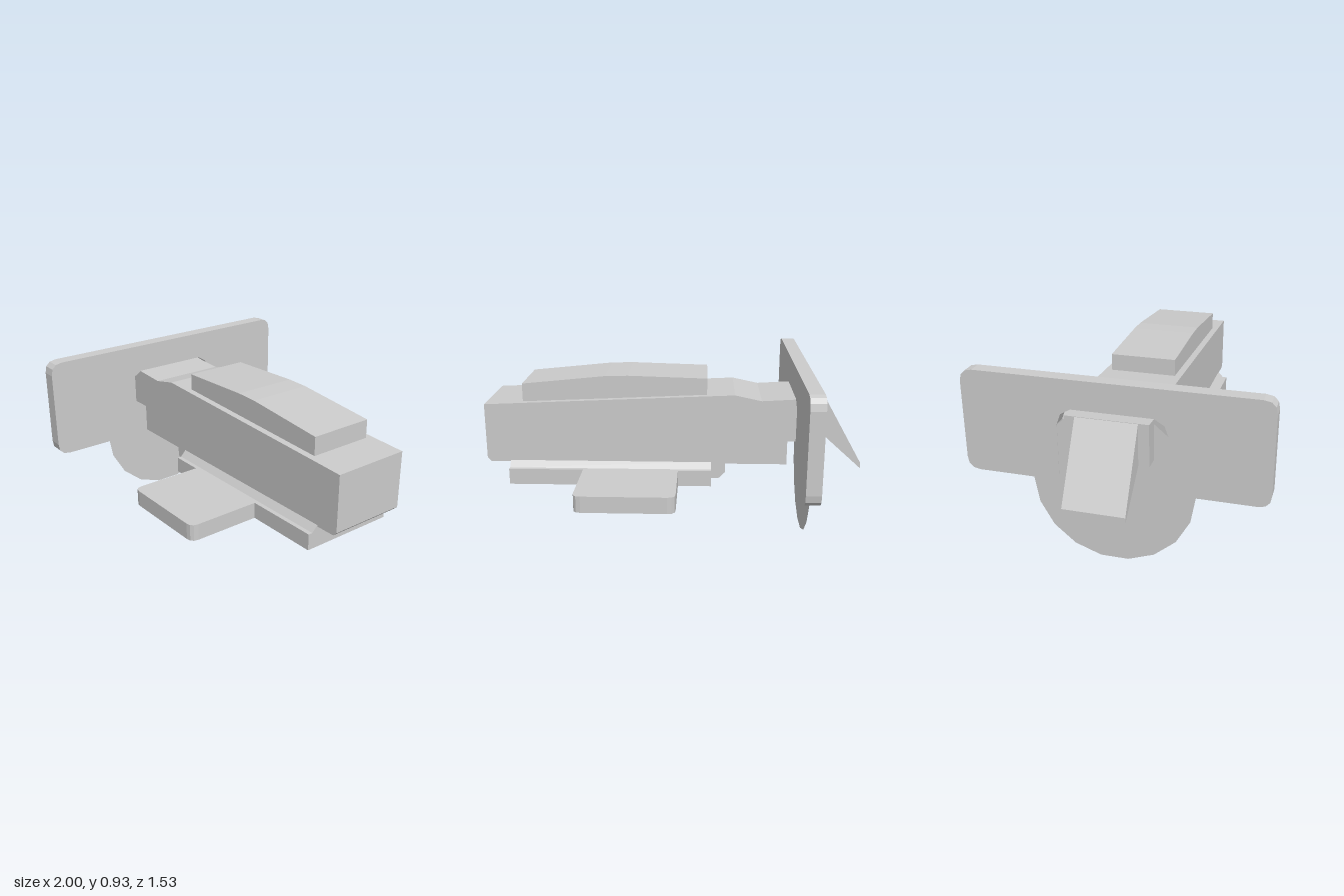
import * as THREE from 'three';

const material = new THREE.MeshStandardMaterial({ color: 0xcccccc, flatShading: true });
const sheetMaterial = new THREE.MeshStandardMaterial({ color: 0xcccccc, side: THREE.DoubleSide });

const shapeOf = (points) => new THREE.Shape(points.map(([x, y]) => new THREE.Vector2(x, y)));
const extrude = (shape, depth) =>
  new THREE.ExtrudeGeometry(shape, { depth, bevelEnabled: false, curveSegments: 3 });

// Side profile in x/y, extruded to a width centred on z = 0
function sideProfile(points, width) {
  return extrude(shapeOf(points), width).translate(0, 0, -width / 2);
}

// Upright plate with rounded corners and an arched notch in its lower edge
function shieldShape() {
  const w = 0.765, y0 = 0.4, y1 = 0.935, r = 0.065;
  const s = new THREE.Shape();
  s.moveTo(0.275, y0);
  s.lineTo(w - r, y0);
  s.quadraticCurveTo(w, y0, w, y0 + r);
  s.lineTo(w, y1 - r);
  s.quadraticCurveTo(w, y1, w - r, y1);
  s.lineTo(-w + r, y1);
  s.quadraticCurveTo(-w, y1, -w, y1 - r);
  s.lineTo(-w, y0 + r);
  s.quadraticCurveTo(-w, y0, -w + r, y0);
  s.lineTo(-0.275, y0);
  for (const [z, y] of [[-0.275, 0.7], [-0.255, 0.755], [-0.205, 0.785],
    [0.205, 0.785], [0.255, 0.755], [0.275, 0.7]]) s.lineTo(z, y);
  return s;
}

// Cross-shaped plan: a long plate with a rounded wing on each side
function basePlateShape() {
  const x0 = -0.2, x1 = 0.875, a = -0.025, b = 0.48, h = 0.258, w = 0.645, r = 0.04;
  const s = new THREE.Shape();
  s.moveTo(x0, -h);
  s.lineTo(a, -h);
  s.lineTo(a, -w + r);
  s.quadraticCurveTo(a, -w, a + r, -w);
  s.lineTo(b - r, -w);
  s.quadraticCurveTo(b, -w, b, -w + r);
  s.lineTo(b, -h);
  s.lineTo(x1, -h);
  s.lineTo(x1, h);
  s.lineTo(b, h);
  s.lineTo(b, w - r);
  s.quadraticCurveTo(b, w, b - r, w);
  s.lineTo(a + r, w);
  s.quadraticCurveTo(a, w, a, w - r);
  s.lineTo(a, h);
  s.lineTo(x0, h);
  return s;
}

export function createModel() {
  const model = new THREE.Group();
  const add = (name, geometry, mat = material) => {
    const mesh = new THREE.Mesh(geometry, mat);
    mesh.name = name;
    model.add(mesh);
  };

  // Long body with a stepped underside
  add('body', sideProfile([
    [-0.79, 0.575], [-0.6, 0.575], [-0.6, 0.425], [0.98, 0.425], [1, 0.445],
    [1, 0.74], [-0.32, 0.8], [-0.46, 0.77], [-0.79, 0.79],
  ], 0.41));

  // Slanted end wedge
  add('endWedge', sideProfile([
    [-1, 0.39], [-0.79, 0.578], [-0.79, 0.788], [-1, 0.42],
  ], 0.305));

  // Raised block on top
  add('topBlock', sideProfile([
    [-0.175, 0.78], [0.8, 0.74], [0.8, 0.845], [0.36, 0.889], [0.24, 0.892], [-0.175, 0.88],
  ], 0.34));

  // Shield across the body
  add('shield', extrude(shieldShape(), 0.075).rotateY(-Math.PI / 2).translate(-0.635, 0, 0));

  // Thin disc flush with the shield's outer face
  add('disc', new THREE.CircleGeometry(0.41, 18).rotateY(-Math.PI / 2)
    .translate(-0.708, 0.404, 0), sheetMaterial);

  // Base plate with side wings
  add('basePlate', extrude(basePlateShape(), 0.085).rotateX(Math.PI / 2).translate(0, 0.4, 0));

  // Sloped rail joining plate and body
  const rail = shapeOf([[-0.235, 0.4], [0.235, 0.4], [0.205, 0.432], [-0.205, 0.432]]);
  add('rail', extrude(rail, 1.075).rotateY(-Math.PI / 2).translate(0.875, 0, 0));

  // Small chamfered stop ahead of the plate
  add('stop', sideProfile([
    [-0.275, 0.375], [-0.24, 0.34], [-0.195, 0.34], [-0.195, 0.43], [-0.275, 0.43],
  ], 0.4));

  return model;
}
